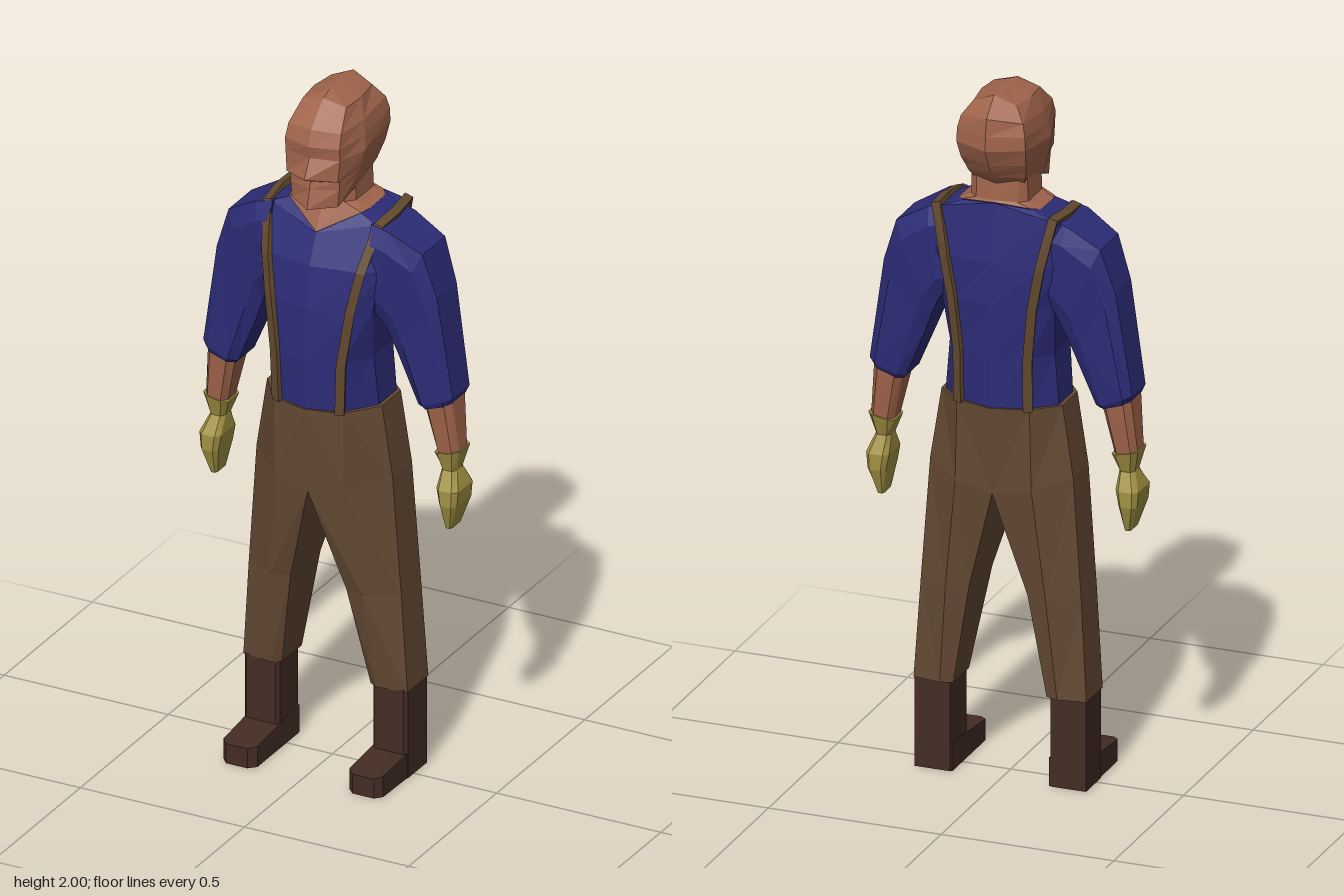
import * as THREE from 'three';

const mat = (name, color) => Object.assign(new THREE.MeshStandardMaterial({ color }), { name });
const V = (p) => new THREE.Vector3(...p);

// Closed solid through rings of [x, y, z] points; faceted, always wound outward
function loft(rings) {
  const tris = [];
  const n = rings[0].length;
  for (let r = 0; r + 1 < rings.length; r++) {
    for (let i = 0; i < n; i++) {
      const j = (i + 1) % n;
      const [a, b, c, d] = [rings[r][i], rings[r][j], rings[r + 1][j], rings[r + 1][i]];
      tris.push([a, b, c], [a, c, d]);
    }
  }
  const cap = (ring, flip) => {
    const m = [0, 1, 2].map((k) => ring.reduce((s, p) => s + p[k], 0) / n);
    ring.forEach((p, i) => {
      const q = ring[(i + 1) % n];
      tris.push(flip ? [m, q, p] : [m, p, q]);
    });
  };
  cap(rings[0], true);
  cap(rings[rings.length - 1], false);
  const volume = tris.reduce((s, [a, b, c]) => s + V(a).dot(V(b).cross(V(c))), 0);
  const pos = tris.flatMap(([a, b, c]) => (volume < 0 ? [a, c, b] : [a, b, c])).flat();
  const g = new THREE.BufferGeometry();
  g.setAttribute('position', new THREE.Float32BufferAttribute(pos, 3));
  g.computeVertexNormals();
  return g;
}

const mirror = ([x, y, z]) => [-x, y, z];
// Half outline from front centre to back centre, completed on the other side
const whole = (half) => [...half, ...half.slice(1, -1).reverse().map(mirror)];
// Points [x, z] at one height
const level = (y, pts) => pts.map(([x, z]) => [x, y, z]);
// Limb section between an outer and an inner point, with front and back z and a chamfer
function limb([ox, oy], [ix, iy], f, b, c = 0.02) {
  return [[0, f - c], [0.2, f], [0.8, f], [1, f - c], [1, b + c], [0.8, b], [0.2, b], [0, b + c]]
    .map(([t, z]) => [ox + (ix - ox) * t, oy + (iy - oy) * t, z]);
}

export function createModel() {
  const model = new THREE.Group();
  model.name = 'workman';
  const skin = mat('skin', 0xa0644b);
  const shirt = mat('blue shirt', 0x2c2c78);
  const brown = mat('brown trousers', 0x654933);
  const leather = mat('strap leather', 0x62482e);
  const boot = mat('dark boots', 0x432c24);
  const glove = mat('yellow gloves', 0xa19142);

  const add = (name, rings, material) => {
    const mesh = new THREE.Mesh(loft(rings), material);
    mesh.name = name;
    model.add(mesh);
  };
  const pair = (name, rings, material) => {
    add('left' + name, rings, material);
    add('right' + name, rings.map((r) => r.map(mirror)), material);
  };

  // Torso with a V-shaped collar
  const collar = [[0, 1.605, 0.094], [0.11, 1.665, 0.04], [0.12, 1.668, 0.01],
    [0.12, 1.67, -0.08], [0.1, 1.675, -0.1], [0, 1.683, -0.112]];
  add('torso', [
    level(1.09, [[0, 0.157], [0.1, 0.13], [0.165, 0.04], [0.165, -0.06], [0.1, -0.12], [0, -0.15]]),
    level(1.25, [[0, 0.16], [0.1, 0.135], [0.152, 0.05], [0.152, -0.06], [0.1, -0.125], [0, -0.15]]),
    level(1.4, [[0, 0.147], [0.12, 0.125], [0.165, 0.08], [0.165, -0.09], [0.115, -0.13], [0, -0.15]]),
    level(1.52, [[0, 0.13], [0.14, 0.105], [0.19, 0.07], [0.19, -0.1], [0.135, -0.13], [0, -0.14]]),
    [[0, 1.605, 0.095], [0.16, 1.645, 0.05], [0.19, 1.635, 0.03],
      [0.19, 1.635, -0.09], [0.16, 1.655, -0.115], [0, 1.685, -0.115]],
    collar,
  ].map(whole), shirt);

  // Neck, filling the collar
  add('neck', [
    collar.map(([x, y, z]) => [x, y + 0.002, z]),
    level(1.69, [[0, 0.05], [0.06, 0.045], [0.083, 0.02], [0.083, -0.08], [0.06, -0.1], [0, -0.108]]),
    level(1.76, [[0, 0.05], [0.06, 0.045], [0.08, 0.02], [0.08, -0.08], [0.06, -0.095], [0, -0.1]]),
  ].map(whole), skin);

  // Head: jaw, mouth, nose shelf, brow, forehead, crown
  add('head', [
    [[0, 1.695, 0.145], [0.07, 1.7, 0.1], [0.083, 1.73, 0.03], [0.07, 1.735, -0.08], [0, 1.735, -0.1]],
    [[0, 1.75, 0.13], [0.074, 1.75, 0.1], [0.093, 1.77, 0.03], [0.083, 1.765, -0.1], [0, 1.765, -0.13]],
    [[0, 1.772, 0.125], [0.076, 1.777, 0.1], [0.098, 1.79, 0.03], [0.088, 1.785, -0.11], [0, 1.785, -0.145]],
    [[0, 1.79, 0.16], [0.078, 1.782, 0.115], [0.103, 1.81, 0.03], [0.094, 1.81, -0.125], [0, 1.81, -0.16]],
    [[0, 1.845, 0.132], [0.083, 1.845, 0.112], [0.11, 1.845, 0.02], [0.1, 1.86, -0.143], [0, 1.86, -0.185]],
    [[0, 1.88, 0.138], [0.083, 1.88, 0.115], [0.105, 1.885, 0.01], [0.098, 1.9, -0.143], [0, 1.9, -0.182]],
    [[0, 1.925, 0.122], [0.08, 1.92, 0.1], [0.096, 1.925, 0], [0.09, 1.935, -0.135], [0, 1.95, -0.175]],
    [[0, 1.99, 0.052], [0.066, 1.973, 0.045], [0.073, 1.975, -0.03], [0.062, 1.975, -0.11], [0, 2, -0.12]],
    [[0, 2, 0.02], [0.01, 1.998, 0.01], [0.012, 1.998, -0.03], [0.01, 1.998, -0.1], [0, 2, -0.115]],
  ].map(whole), skin);

  // Sleeves, forearms and gloves
  pair('Sleeve', [
    limb([0.15, 1.65], [0.15, 1.39], 0.08, -0.11),
    limb([0.2, 1.638], [0.165, 1.385], 0.08, -0.115),
    limb([0.295, 1.583], [0.19, 1.335], 0.06, -0.11),
    limb([0.335, 1.46], [0.215, 1.27], 0.052, -0.1),
    limb([0.38, 1.165], [0.275, 1.125], 0.045, -0.09),
    limb([0.372, 1.145], [0.285, 1.115], 0.038, -0.082),
  ], shirt);
  pair('Forearm', [
    limb([0.37, 1.17], [0.285, 1.14], 0.035, -0.08),
    limb([0.386, 0.99], [0.319, 0.985], 0.018, -0.065),
  ], skin);
  pair('Glove', [
    limb([0.39, 1], [0.314, 0.985], 0.022, -0.07, 0.015),
    limb([0.375, 0.935], [0.33, 0.935], 0.006, -0.052, 0.015),
    limb([0.394, 0.885], [0.328, 0.885], 0.036, -0.076, 0.015),
    limb([0.39, 0.84], [0.336, 0.84], 0.036, -0.076, 0.015),
    limb([0.367, 0.765], [0.348, 0.765], 0.012, -0.052, 0.01),
  ], glove);

  // Trouser halves meeting at the centre line above the crotch
  pair('TrouserLeg', [
    level(1.105, [[0, 0.162], [0.105, 0.137], [0.175, 0.045], [0.175, -0.062], [0.105, -0.127], [0, -0.155]]),
    [[0, 0.85, 0.142], [0.105, 0.87, 0.132], [0.207, 0.9, 0.045],
      [0.207, 0.9, -0.065], [0.11, 0.87, -0.127], [0, 0.85, -0.135]],
    level(0.55, [[0.085, 0.08], [0.14, 0.092], [0.232, 0.042], [0.232, -0.07], [0.145, -0.11], [0.085, -0.09]]),
    level(0.26, [[0.135, 0.035], [0.16, 0.05], [0.25, 0.04], [0.25, -0.078], [0.17, -0.09], [0.135, -0.078]]),
  ], brown);

  // Boots: shaft and foot with chamfered toe
  const shaft = [[0.15, 0.043], [0.24, 0.043], [0.248, 0.033], [0.248, -0.075], [0.145, -0.075], [0.142, 0.033]];
  pair('BootShaft', [level(0.265, shaft), level(0, shaft)], boot);
  const sole = [[0.14, -0.073], [0.14, 0.165], [0.16, 0.185], [0.225, 0.185], [0.243, 0.165], [0.248, -0.073]];
  pair('BootFoot', [
    level(0, sole),
    sole.map(([x, z]) => [x, z > 0 ? 0.083 - (z - 0.04) * 0.17 : 0.083, z]),
  ], boot);

  // Suspenders: [x, y, z], outward direction and width direction for each section
  const strap = [
    [[0.095, 1.1, 0.136], [0.35, 0, 1]], [[0.1, 1.25, 0.138], [0.35, 0, 1]],
    [[0.122, 1.41, 0.128], [0.45, 0.1, 1]], [[0.142, 1.52, 0.108], [0.45, 0.3, 1]],
    [[0.168, 1.643, 0.052], [0.3, 1, 0.6]], [[0.175, 1.652, -0.03], [0.3, 1, 0]],
    [[0.168, 1.658, -0.115], [0.3, 1, -0.6]], [[0.137, 1.52, -0.134], [0.25, 0.1, -1]],
    [[0.115, 1.4, -0.134], [0.25, 0, -1]], [[0.1, 1.25, -0.129], [0.35, 0, -1]],
    [[0.1, 1.1, -0.126], [0.35, 0, -1]],
  ].map(([p, dir], i, all) => {
    const n = V(dir).normalize();
    const along = V(all[Math.min(i + 1, all.length - 1)][0]).sub(V(all[Math.max(i - 1, 0)][0]));
    const w = along.cross(n).normalize();
    return [[-1, -1], [1, -1], [1, 1], [-1, 1]].map(([s, t]) =>
      V(p).addScaledVector(w, s * 0.013).addScaledVector(n, t * 0.008).toArray());
  });
  pair('Suspender', strap, leather);

  return model;
}
